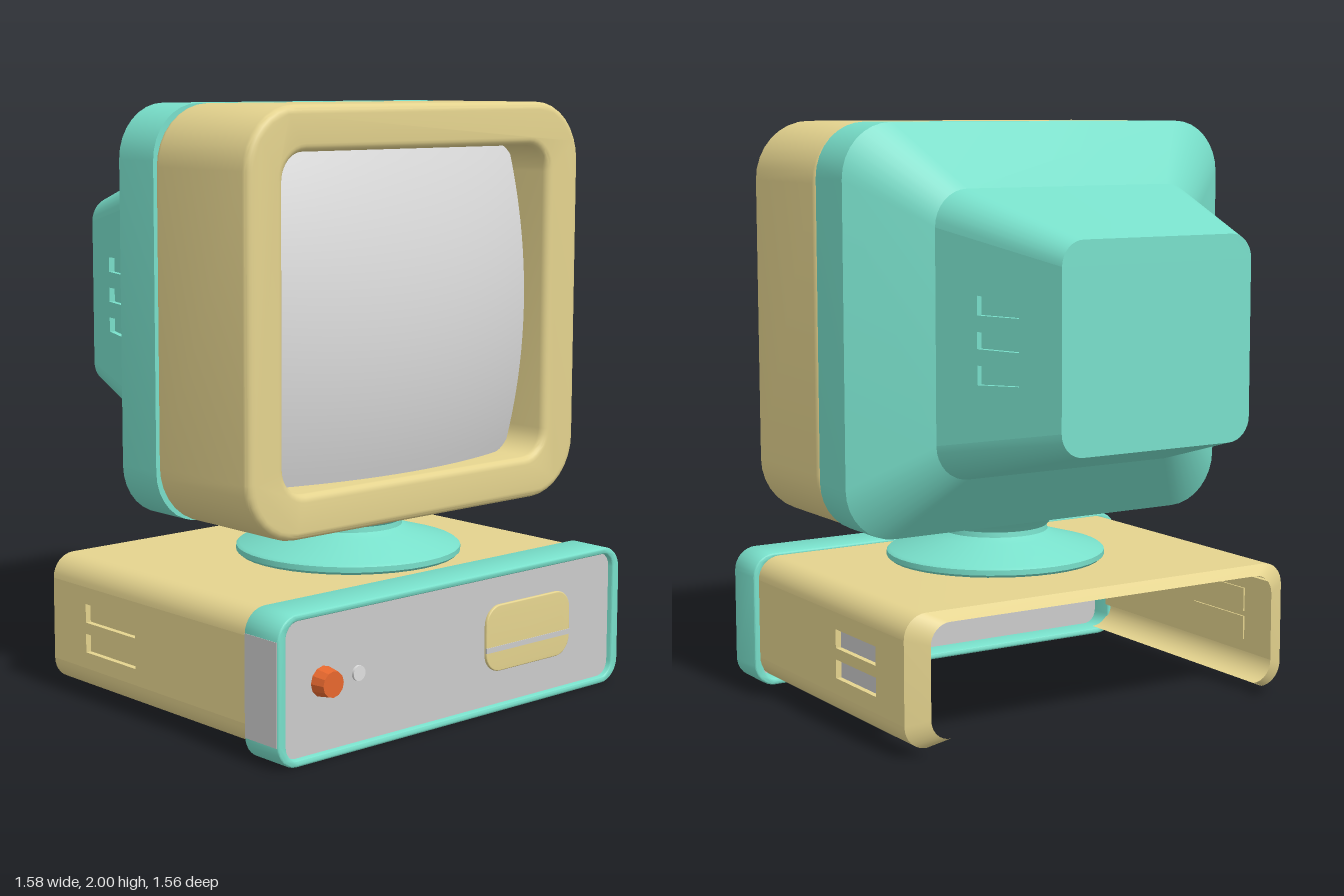
import * as THREE from 'three';
import { toCreasedNormals } from 'three/addons/utils/BufferGeometryUtils.js';

const N = 8; // segments per rounded corner

const material = (name, color, side = THREE.FrontSide) => {
  const m = new THREE.MeshStandardMaterial({ color, side });
  m.name = name;
  return m;
};

// Rounded rectangle, counter-clockwise, starting at the upper corner of the +u side
function roundedRect(w, h, r, u0 = 0, v0 = 0) {
  const pts = [];
  [[1, 1], [-1, 1], [-1, -1], [1, -1]].forEach(([su, sv], c) => {
    for (let i = 0; i <= N; i++) {
      const a = (c + i / N) * Math.PI / 2;
      pts.push(new THREE.Vector2(
        u0 + su * (w / 2 - r) + r * Math.cos(a),
        v0 + sv * (h / 2 - r) + r * Math.sin(a)));
    }
  });
  return pts;
}
const SIDES = [2 * N + 1, 4 * N + 3]; // flat vertical edges of the ring
const BOTTOM = 3 * N + 2;             // flat lower edge of the ring

// Skin a row of rings running from +x to -x; skip(section, edge) leaves gaps
function loft(rings, skip, caps) {
  const pos = [];
  const pts = rings.map(([x, w, h, r, z, y]) =>
    roundedRect(w, h, r, z, y).map((p) => [x, p.y, p.x]));
  const count = pts[0].length;
  for (let s = 0; s < pts.length - 1; s++) {
    for (let i = 0; i < count; i++) {
      if (skip(s, i)) continue;
      const j = (i + 1) % count;
      const a = pts[s][i], b = pts[s][j], c = pts[s + 1][j], d = pts[s + 1][i];
      pos.push(...a, ...b, ...c, ...a, ...c, ...d);
    }
  }
  if (caps) {
    const front = pts[0], back = pts[pts.length - 1];
    for (let i = 1; i < count - 1; i++) {
      pos.push(...back[0], ...back[i], ...back[i + 1]);
      pos.push(...front[0], ...front[i + 1], ...front[i]);
    }
  }
  const g = new THREE.BufferGeometry();
  g.setAttribute('position', new THREE.Float32BufferAttribute(pos, 3));
  return toCreasedNormals(g, 0.4);
}

// Rounded plate or frame facing +x, spanning x0 to x1
function plate(w, h, r, x0, x1, bevel = 0, hole = null) {
  const b = bevel;
  const shape = new THREE.Shape(roundedRect(w - 2 * b, h - 2 * b, r - b));
  if (hole) {
    const [hw, hh, hr, hu = 0, hv = 0] = hole;
    shape.holes.push(new THREE.Path(roundedRect(hw + 2 * b, hh + 2 * b, hr + b, hu, hv)));
  }
  const g = new THREE.ExtrudeGeometry(shape, {
    depth: x1 - x0 - 2 * b, bevelEnabled: b > 0, bevelSize: b, bevelThickness: b, bevelSegments: 5,
  });
  g.translate(0, 0, x0 + b).rotateY(Math.PI / 2);
  return toCreasedNormals(g, 0.6);
}

// Flat wall in the xy plane with slots cut in and a floor behind them
function ventWall(name, outline, slots, mat, floorMat) {
  const group = new THREE.Group();
  group.name = name;
  const shape = new THREE.Shape(outline.map((p) => new THREE.Vector2(...p)));
  for (const s of slots) shape.holes.push(new THREE.Path(s.map((p) => new THREE.Vector2(...p))));
  const wall = new THREE.Mesh(
    new THREE.ExtrudeGeometry(shape, { depth: 0.02, bevelEnabled: false }).translate(0, 0, -0.02), mat);
  wall.name = name + 'Face';
  group.add(wall);
  for (const s of slots) {
    const [a, , c] = s;
    const floor = new THREE.Mesh(
      new THREE.BoxGeometry(c[0] - a[0] + 0.02, c[1] - a[1] + 0.02, 0.006), floorMat);
    floor.position.set((a[0] + c[0]) / 2, (a[1] + c[1]) / 2, -0.024);
    floor.name = 'ventFloor';
    group.add(floor);
  }
  return group;
}

export function createModel() {
  const model = new THREE.Group();
  model.name = 'desktopComputer';
  const teal = material('teal', 0x78dfca);
  const beige = material('beige', 0xe4d38e, THREE.DoubleSide);
  const grey = material('grey', 0xcbcbcb);
  const paleGrey = material('paleGrey', 0xdedede, THREE.DoubleSide);
  const orange = material('orange', 0xe8682e);
  const add = (name, geometry, mat, x = 0, y = 0, z = 0) => {
    const m = new THREE.Mesh(geometry, mat);
    m.name = name;
    m.position.set(x, y, z);
    model.add(m);
  };
  const ZC = -0.037, YC = 1.32; // centre of the monitor

  // Monitor bezel and gently bulging screen
  add('bezel', plate(1.49, 1.36, 0.2, 0.077, 0.54, 0.026, [1.185, 1.07, 0.09, -0.005, 0]), beige, 0, YC, ZC);
  const glass = new THREE.PlaneGeometry(1.17, 1.08, 24, 24).rotateY(Math.PI / 2);
  const gp = glass.attributes.position;
  for (let i = 0; i < gp.count; i++) {
    gp.setX(i, 0.556 - 0.3 * (gp.getZ(i) ** 2 + gp.getY(i) ** 2));
  }
  glass.computeVertexNormals();
  add('screen', glass, paleGrey, 0, YC, -0.022);

  // Monitor rear housing, leaving room for the vented side walls
  add('rearHousing', loft([
    [0.075, 1.49, 1.36, 0.18, ZC, YC],
    [-0.105, 1.49, 1.36, 0.18, ZC, YC],
    [-0.29, 1.025, 0.94, 0.12, ZC, YC],
    [-0.79, 0.725, 0.67, 0.08, ZC, 1.315],
  ], (s, i) => s === 2 && SIDES.includes(i), true), teal);
  const slope = Math.hypot(0.5, 0.15), k = slope / 0.5;
  const u0 = 0.165 * k, u1 = 0.33 * k;
  const housingSlots = [1.19, 1.296, 1.402].map((y, i) => {
    const tilt = (i - 1) * 0.008;
    return [[u0, y], [u1, y + Math.min(tilt, 0)], [u1, y + 0.054 + Math.max(tilt, 0)], [u0, y + 0.05]];
  });
  for (const side of [1, -1]) {
    const holder = new THREE.Group();
    holder.name = side > 0 ? 'housingSideFront' : 'housingSideRear';
    holder.position.z = ZC;
    holder.scale.z = side;
    const wall = ventWall('housingVents',
      [[0, 1.06], [slope, 0.97], [slope, 1.67], [0, 1.57]], housingSlots, teal, teal);
    wall.position.set(-0.79, 0, 0.3625);
    wall.rotation.y = -Math.atan2(0.15, 0.5);
    holder.add(wall);
    model.add(holder);
  }

  // Swivel stand
  const profile = [[0, 0.473], [0.375, 0.473], [0.385, 0.482], [0.385, 0.5], [0.375, 0.508], [0.21, 0.555],
    [0.185, 0.572], [0.183, 0.59], [0.2, 0.61], [0.245, 0.645], [0, 0.645]];
  add('swivelStand', toCreasedNormals(
    new THREE.LatheGeometry(profile.map((p) => new THREE.Vector2(...p)), 40), 0.6), teal, 0.178, 0, ZC);

  // Case sleeve, open at the back and underneath, with a lined ceiling
  add('caseSleeve', loft([
    [0.61, 1.52, 0.44, 0.08, 0, 0.25],
    [-0.44, 1.52, 0.44, 0.08, 0, 0.25],
    [-0.48, 1.37, 0.38, 0.07, 0, 0.25],
  ], (s, i) => i === BOTTOM || (s === 0 && SIDES.includes(i)), false), beige);
  add('caseCeiling', new THREE.BoxGeometry(1.05, 0.006, 1.38), grey, 0.085, 0.464, 0);
  const caseSlots = [0.165, 0.268].map((y) =>
    [[-0.255, y], [0.02, y], [0.02, y + 0.064], [-0.255, y + 0.064]]);
  for (const side of [1, -1]) {
    const holder = new THREE.Group();
    holder.name = side > 0 ? 'caseSideFront' : 'caseSideRear';
    holder.scale.z = side;
    const wall = ventWall('caseVents',
      [[-0.44, 0.11], [0.61, 0.11], [0.61, 0.39], [-0.44, 0.39]], caseSlots, beige, side > 0 ? beige : grey);
    wall.position.z = 0.76;
    holder.add(wall);
    model.add(holder);
  }

  // Case front: frame with a grey end, and a recessed panel
  add('frontFrame', plate(1.56, 0.48, 0.08, 0.6, 0.76, 0.008, [1.49, 0.435, 0.05]), teal, 0, 0.24, 0);
  add('frameEnd', new THREE.BoxGeometry(0.15, 0.33, 0.004), grey, 0.68, 0.24, 0.779);
  add('frontPanel', plate(1.5, 0.445, 0.05, 0.69, 0.74), grey, 0, 0.24, 0);

  // Disk drive, knob and status light
  add('driveCover', plate(0.405, 0.225, 0.065, 0.735, 0.75, 0.004), beige, 0, 0.248, -0.335);
  add('driveSlot', new THREE.BoxGeometry(0.008, 0.018, 0.405), grey, 0.748, 0.213, -0.335);
  add('knob', toCreasedNormals(
    new THREE.CylinderGeometry(0.042, 0.05, 0.05, 12).rotateZ(-Math.PI / 2), 0.3), orange, 0.764, 0.245, 0.58);
  add('statusLight', new THREE.CylinderGeometry(0.025, 0.025, 0.012, 20).rotateZ(-Math.PI / 2),
    paleGrey, 0.743, 0.245, 0.435);

  return model;
}
